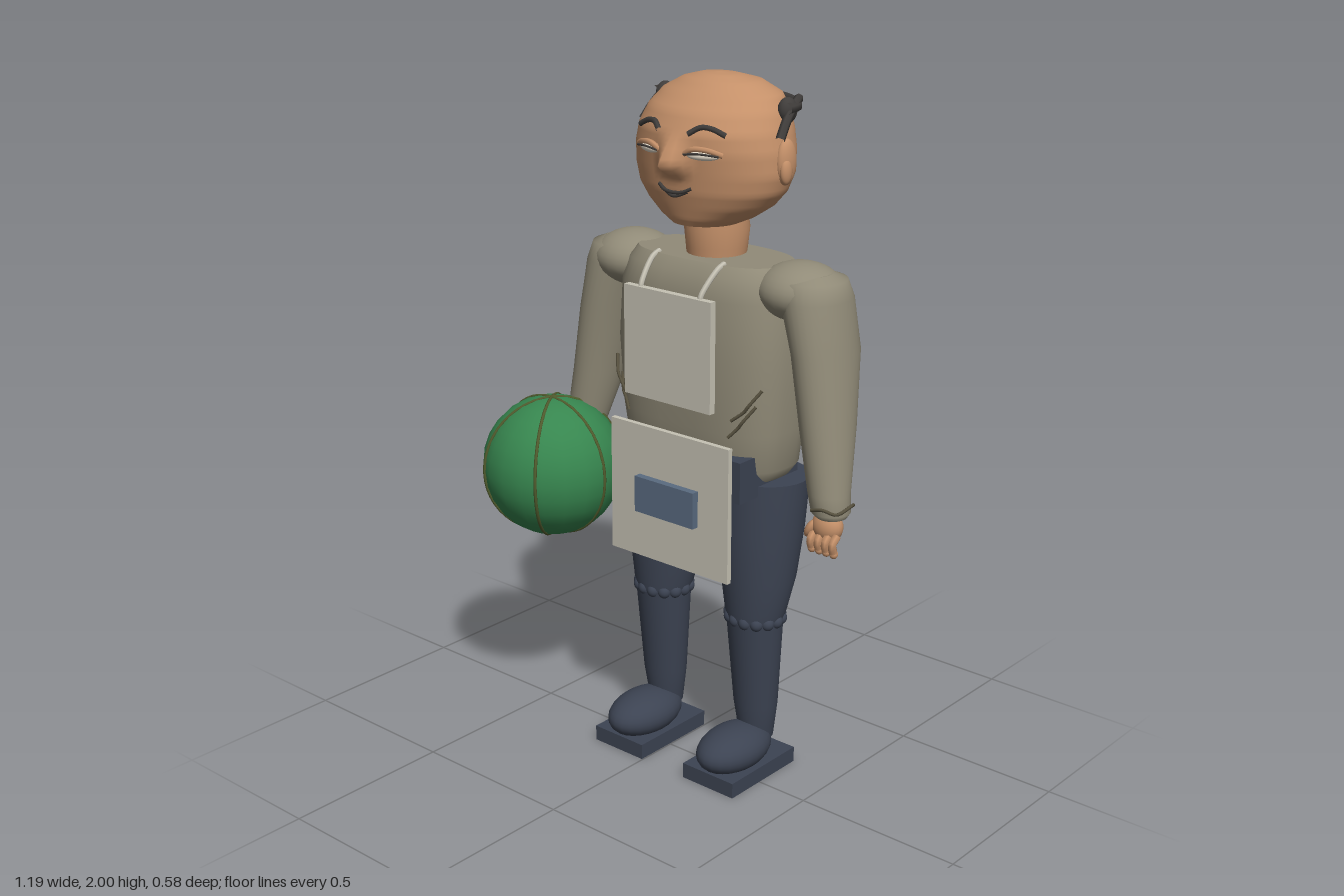
import * as THREE from 'three';

const mat = (name, color, side = THREE.FrontSide) => {
  const m = new THREE.MeshStandardMaterial({ color, side });
  m.name = name;
  return m;
};

// Rings are [y, centreX, halfWidth, backZ, frontZ], from bottom to top.
function ringAt(keys, y) {
  let i = 0;
  while (i < keys.length - 2 && y > keys[i + 1][0]) i++;
  const a = keys[i], b = keys[i + 1];
  const t = THREE.MathUtils.clamp((y - a[0]) / (b[0] - a[0]), 0, 1);
  return a.map((v, k) => v + (b[k] - v) * t);
}

function loft(keys, { segments = 32, power = 2, steps = 1, bump = null } = {}) {
  const rings = [];
  keys.forEach((k, i) => {
    if (i) for (let s = 1; s <= steps; s++) {
      rings.push(ringAt(keys, keys[i - 1][0] + (k[0] - keys[i - 1][0]) * s / steps));
    } else rings.push(k);
  });
  const pos = [], idx = [];
  const addRing = ([y, cx, rx, back, front]) => {
    for (let j = 0; j < segments; j++) {
      const t = j / segments * Math.PI * 2, c = Math.cos(t), s = Math.sin(t);
      const x = Math.sign(c) * Math.abs(c) ** (2 / power) * rx;
      let z = (back + front) / 2 + Math.sign(s) * Math.abs(s) ** (2 / power) * (front - back) / 2;
      if (bump && s > 0) z += bump(x, y);
      pos.push(cx + x, y, z);
    }
  };
  rings.forEach(addRing);
  for (let i = 0; i < rings.length - 1; i++) {
    for (let j = 0; j < segments; j++) {
      const a = i * segments + j, b = i * segments + (j + 1) % segments;
      idx.push(a, a + segments, b, b, a + segments, b + segments);
    }
  }
  // Separate cap vertices keep the end edges sharp.
  [rings[0], rings[rings.length - 1]].forEach((r, top) => {
    const start = pos.length / 3;
    addRing(r);
    pos.push(r[1], r[0], (r[3] + r[4]) / 2);
    for (let j = 0; j < segments; j++) {
      const a = start + j, b = start + (j + 1) % segments, c = start + segments;
      if (top) idx.push(c, b, a); else idx.push(c, a, b);
    }
  });
  const g = new THREE.BufferGeometry();
  g.setAttribute('position', new THREE.Float32BufferAttribute(pos, 3));
  g.setIndex(idx);
  g.computeVertexNormals();
  return g;
}

const HEAD = [
  [1.605, 0, 0.095, -0.165, 0.035], [1.625, 0, 0.14, -0.19, 0.045], [1.66, 0, 0.192, -0.222, 0.055],
  [1.7, 0, 0.226, -0.245, 0.066], [1.75, 0, 0.242, -0.265, 0.072], [1.81, 0, 0.24, -0.275, 0.08],
  [1.86, 0, 0.228, -0.279, 0.078], [1.91, 0, 0.208, -0.274, 0.05], [1.95, 0, 0.178, -0.255, 0.005],
  [1.98, 0, 0.12, -0.215, -0.035], [1.995, 0, 0.06, -0.16, -0.07], [2, 0, 0.004, -0.115, -0.107],
];
const faceZ = (x, y) => {
  const [, , rx, b, f] = ringAt(HEAD, y);
  return (b + f) / 2 + (f - b) / 2 * Math.sqrt(Math.max(0, 1 - (x / rx) ** 2));
};
// Pointed nose, raised from the face surface.
const nose = (x, y) => {
  const v = y < 1.775 ? (y - 1.735) / 0.04 : (1.86 - y) / 0.085;
  return 0.066 * Math.max(0, v) * Math.max(0, 1 - Math.abs(x) / 0.055);
};

export function createModel() {
  const skin = mat('skin', 0xc49069), jacket = mat('jacket cloth', 0x918b78);
  const navy = mat('navy cloth', 0x3c4352), pale = mat('apron cloth', 0xc6c2b4);
  const blue = mat('pocket blue', 0x5a6b80), green = mat('ball green', 0x37864f);
  const rib = mat('rib olive', 0x515c2e), dark = mat('dark hair', 0x403d3b);
  const white = mat('eye white', 0xe6dccb), fold = mat('fold shade', 0x57513f);

  const model = new THREE.Group();
  const body = new THREE.Group();
  body.name = 'figure';
  body.position.x = 0.077;
  model.add(body);

  const add = (name, geo, m, x = 0, y = 0, z = 0, parent = body) => {
    const mesh = new THREE.Mesh(geo, m);
    mesh.name = name;
    mesh.position.set(x, y, z);
    parent.add(mesh);
    return mesh;
  };
  const box = (name, m, x0, x1, y0, y1, z0, z1) => add(name,
    new THREE.BoxGeometry(x1 - x0, y1 - y0, z1 - z0), m, (x0 + x1) / 2, (y0 + y1) / 2, (z0 + z1) / 2);
  const ball = (name, m, x, y, z, rx, ry, rz) =>
    add(name, new THREE.SphereGeometry(1, 24, 16).scale(rx, ry, rz), m, x, y, z);
  const tube = (name, m, pts, r, n = 16) => add(name, new THREE.TubeGeometry(
    new THREE.CatmullRomCurve3(pts.map(p => new THREE.Vector3(...p))), n, r, 6), m);

  // Head, neck and torso
  add('head', loft(HEAD, { segments: 72, steps: 4, bump: nose }), skin);
  add('neck', loft([[1.48, 0, 0.08, -0.185, -0.025], [1.53, 0, 0.085, -0.195, -0.02],
    [1.58, 0, 0.09, -0.2, -0.015], [1.63, 0, 0.085, -0.19, -0.02]]), skin);
  add('torso', loft([
    [0.905, 0, 0.24, -0.225, 0.03], [0.94, 0, 0.265, -0.24, 0.045], [1.05, 0, 0.278, -0.252, 0.06],
    [1.25, 0, 0.288, -0.265, 0.072], [1.42, 0, 0.28, -0.265, 0.065], [1.48, 0, 0.262, -0.25, 0.045],
    [1.51, 0, 0.24, -0.22, 0.02]], { segments: 48, power: 2.8 }), jacket);
  box('waistband', navy, -0.232, 0.232, 0.87, 0.99, -0.19, 0.068);

  // Smiling mouth
  const onFace = (x, y, lift = 0.004) => [x, y, faceZ(x, y) + lift];
  tube('mouth', dark, [onFace(-0.056, 1.717), onFace(-0.03, 1.706, 0.012), onFace(0, 1.703, 0.014),
    onFace(0.03, 1.706, 0.012), onFace(0.056, 1.717)], 0.005);
  tube('lowerLip', dark, [onFace(-0.045, 1.708), onFace(0, 1.692, 0.01), onFace(0.045, 1.708)], 0.005);

  // Fringe of hair round the back of the head
  const band = [];
  for (let i = 0; i <= 12; i++) {
    const a = Math.PI * i / 12;
    band.push([0.23 * Math.cos(a), 1.922, -0.115 - 0.165 * Math.sin(a)]);
  }
  const fringe = tube('hairFringe', dark, band, 0.016, 40);
  fringe.position.z = 0.005;

  for (const s of [1, -1]) {
    const side = s > 0 ? 'left' : 'right';

    // Face details
    ball(side + 'Ear', skin, s * 0.238, 1.787, -0.1, 0.022, 0.062, 0.036);
    ball(side + 'EarLobe', skin, s * 0.25, 1.765, -0.085, 0.014, 0.035, 0.02);
    ball(side + 'Eye', white, s * 0.093, 1.808, faceZ(0.093, 1.808), 0.046, 0.012, 0.012)
      .rotation.y = s * 0.35;
    tube(side + 'UpperLid', skin, [onFace(s * 0.042, 1.81), onFace(s * 0.07, 1.825, 0.01),
      onFace(s * 0.11, 1.825, 0.01), onFace(s * 0.145, 1.812)], 0.008);
    tube(side + 'LashLine', dark, [onFace(s * 0.045, 1.81, 0.012), onFace(s * 0.093, 1.815, 0.016),
      onFace(s * 0.14, 1.81, 0.012)], 0.003);
    tube(side + 'Eyebrow', dark, [onFace(s * 0.05, 1.862), onFace(s * 0.08, 1.88),
      onFace(s * 0.11, 1.878), onFace(s * 0.148, 1.862)], 0.008);
    tube(side + 'Sideburn', dark, [[s * 0.2, 1.938, -0.2], [s * 0.222, 1.925, -0.15],
      [s * 0.232, 1.89, -0.105], [s * 0.24, 1.848, -0.07]], 0.013);
    ball(side + 'HairTuft', dark, s * 0.212, 1.915, -0.135, 0.024, 0.035, 0.03);

    // Shoulder, sleeve and sleeve creases
    ball(side + 'Shoulder', jacket, s * 0.295, 1.45, -0.1, 0.12, 0.08, 0.118);
    add(side + 'Sleeve', loft([
      [0.865, 0.46, 0.042, -0.085, 0], [0.88, 0.457, 0.054, -0.098, 0.012], [0.93, 0.447, 0.058, -0.105, 0.013],
      [1.1, 0.415, 0.07, -0.165, 0.012], [1.3, 0.382, 0.079, -0.218, 0.013], [1.44, 0.348, 0.09, -0.218, 0.01],
      [1.49, 0.333, 0.092, -0.2, -0.005], [1.505, 0.325, 0.06, -0.16, -0.04]
    ].map(([y, x, ...r]) => [y, s * x, ...r])), jacket);
    tube(side + 'CuffCrease', fold, [[s * 0.5, 0.895, -0.085], [s * 0.517, 0.905, -0.05],
      [s * 0.502, 0.89, -0.005], [s * 0.47, 0.9, 0.012], [s * 0.43, 0.89, 0.01]], 0.005);
    for (const k of [0, 1]) {
      tube(side + 'WaistCrease', fold, [[s * (0.262 - k * 0.02), 1.19 - k * 0.05, 0.015],
        [s * (0.235 - k * 0.02), 1.145 - k * 0.05, 0.042], [s * (0.225 - k * 0.02), 1.13 - k * 0.05, 0.044],
        [s * (0.19 - k * 0.01), 1.1 - k * 0.05, 0.058]], 0.005);
    }

    // Hand with curled fingers
    ball(side + 'Palm', skin, s * 0.457, 0.84, -0.03, 0.046, 0.045, 0.036);
    for (let i = 0; i < 4; i++) {
      const x = s * (0.428 + i * 0.024);
      tube(side + 'Finger', skin, [[x, 0.825, -0.015], [x, 0.805, 0.006], [x, 0.782, 0]], 0.012, 8);
      ball(side + 'Fingertip', skin, x, 0.778, -0.002, 0.012, 0.013, 0.012);
    }
    ball(side + 'Thumb', skin, s * 0.415, 0.828, -0.012, 0.014, 0.03, 0.018).rotation.z = s * -0.5;

    // Leg with a gathered knee
    const leg = rings => loft(rings.map(([y, x, ...r]) => [y, s * x, ...r]));
    add(side + 'Thigh', leg([
      [0.465, 0.173, 0.082, -0.16, -0.005], [0.5, 0.173, 0.092, -0.17, 0], [0.6, 0.172, 0.111, -0.2, 0.007],
      [0.75, 0.167, 0.128, -0.23, 0.013], [0.9, 0.16, 0.142, -0.245, 0.005]]), navy);
    add(side + 'Shin', leg([
      [0.09, 0.174, 0.05, -0.145, -0.045], [0.13, 0.174, 0.056, -0.147, -0.04],
      [0.2, 0.174, 0.067, -0.15, -0.03], [0.47, 0.173, 0.084, -0.16, -0.003]]), navy);
    for (let i = 0; i < 14; i++) {
      const a = i / 14 * Math.PI * 2;
      ball(side + 'KneeGather', navy, s * 0.173 + 0.075 * Math.cos(a), 0.475,
        -0.083 + 0.068 * Math.sin(a), 0.02, 0.021, 0.02);
    }

    // Shoe
    ball(side + 'Shoe', navy, s * 0.172, 0.085, 0.005, 0.088, 0.066, 0.135);
    box(side + 'Sole', navy, s * 0.172 - 0.092, s * 0.172 + 0.092, 0, 0.046, -0.162, 0.124);

    tube(side + 'ApronStrap', pale, [[s * 0.105, 1.42, 0.09], [s * 0.106, 1.44, 0.085],
      [s * 0.115, 1.5, 0.03], [s * 0.115, 1.512, 0]], 0.008);
  }

  // Apron
  box('apronBib', pale, -0.154, 0.154, 1.12, 1.432, 0.083, 0.104);
  box('apronSkirt', pale, -0.214, 0.214, 0.638, 1.032, 0.08, 0.096);
  box('apronPocket', blue, -0.107, 0.107, 0.78, 0.886, 0.094, 0.118);

  // Ribbed ball on the right hand
  const toy = new THREE.Group();
  toy.name = 'ribbedBall';
  toy.position.set(-0.383, 0.827, 0.085);
  model.add(toy);
  add('ballSurface', new THREE.SphereGeometry(0.208, 20, 14), green, 0, 0, 0, toy);
  for (let i = 0; i < 3; i++) {
    add('ballRib', new THREE.TorusGeometry(0.207, 0.005, 6, 48), rib, 0, 0, 0, toy).rotation.y = i * Math.PI / 3;
  }
  return model;
}
